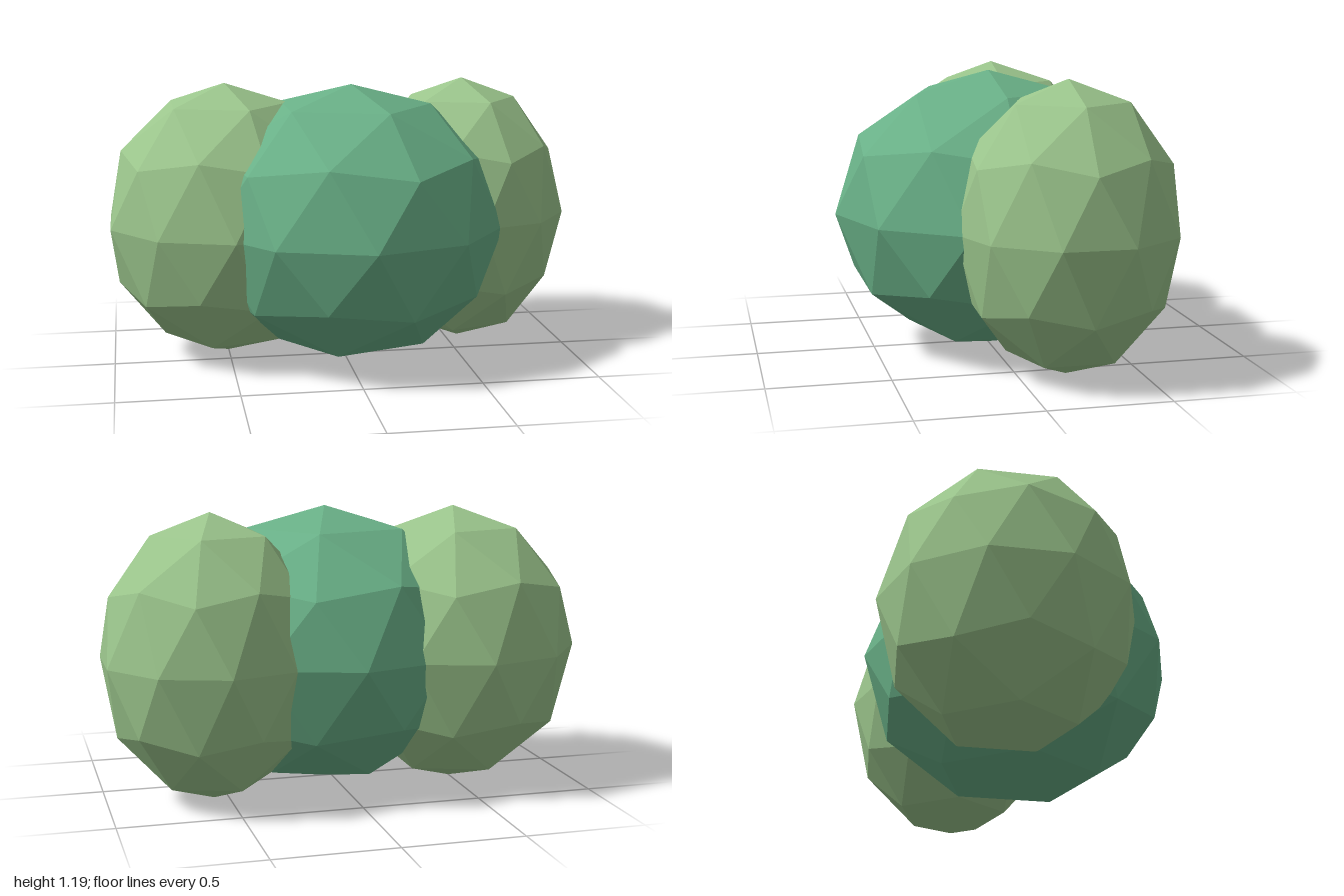
import * as THREE from 'three';

// Faceted ball standing on a vertex, with upper ring pointing to +x
function makeBall(name, material, x, z, radius) {
  const geometry = new THREE.IcosahedronGeometry(1, 1);
  geometry.rotateZ(-Math.atan(2 / (1 + Math.sqrt(5))));
  geometry.scale(radius, 0.595, radius);
  geometry.computeVertexNormals(); // non-indexed, so normals are flat
  const mesh = new THREE.Mesh(geometry, material);
  mesh.name = name;
  mesh.position.set(x, 0.595, z);
  return mesh;
}

export function createModel() {
  const darkLeaf = new THREE.MeshStandardMaterial({ color: 0x69b087, flatShading: true });
  darkLeaf.name = 'dark leaf green';
  const lightLeaf = new THREE.MeshStandardMaterial({ color: 0x9bc58c, flatShading: true });
  lightLeaf.name = 'light leaf green';

  // Three overlapping clumps of a bush
  const bush = new THREE.Group();
  bush.name = 'bush';
  bush.add(
    makeBall('centreClump', darkLeaf, 0.03, 0, 0.66),
    makeBall('rightClump', lightLeaf, -0.5, -0.135, 0.525),
    makeBall('leftClump', lightLeaf, 0.56, -0.2, 0.463),
  );
  return bush;
}
